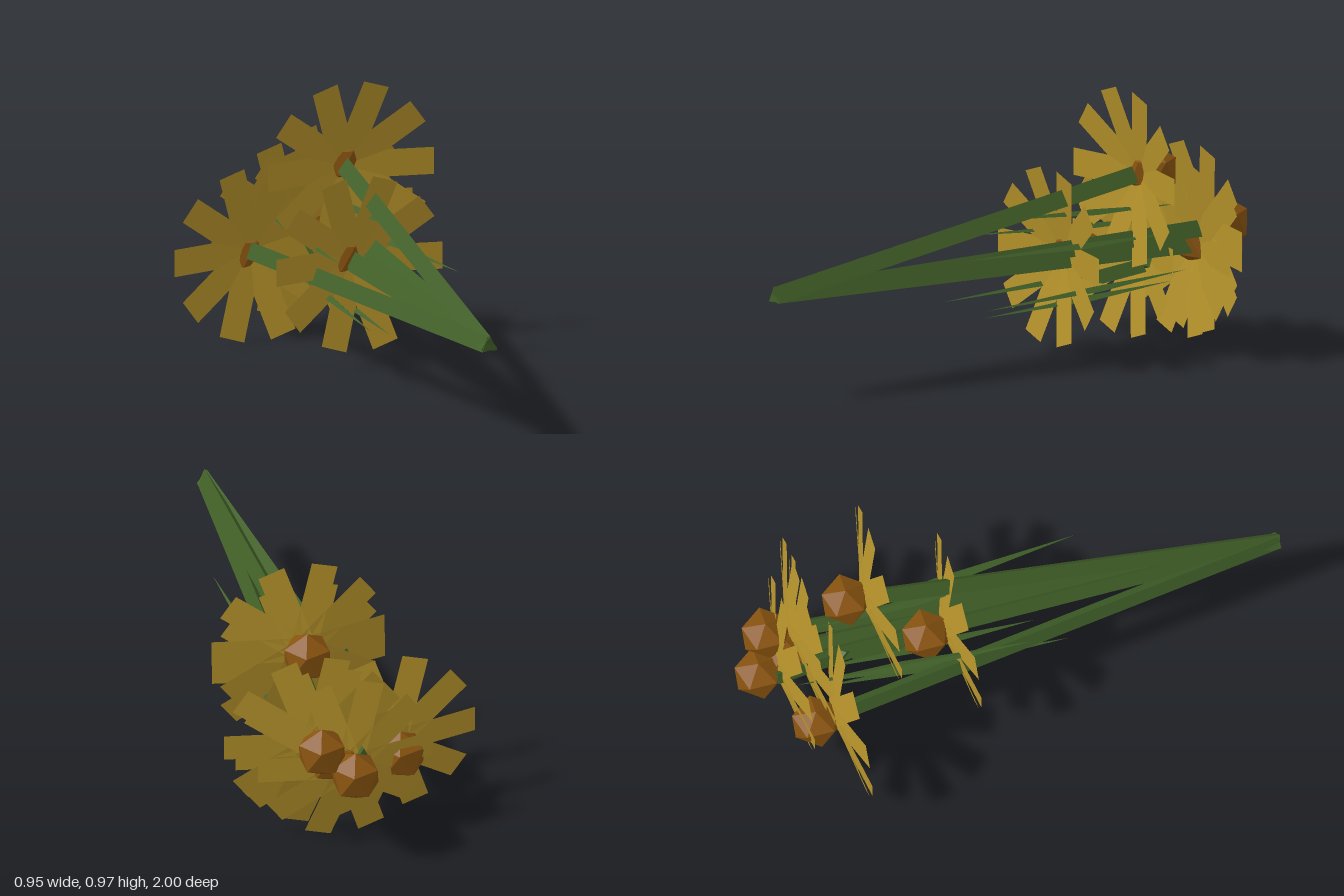
import * as THREE from 'three';

const mat = (name, color, side = THREE.FrontSide) => {
  const m = new THREE.MeshStandardMaterial({ color, side, flatShading: true });
  m.name = name;
  return m;
};

export function createModel() {
  const group = new THREE.Group();
  const yellow = mat('petalYellow', 0xb5922a, THREE.DoubleSide);
  const brown = mat('centreBrown', 0x88530f);
  const green = mat('stemGreen', 0x416028, THREE.DoubleSide);

  const add = (parent, name, geo, material) => {
    const mesh = new THREE.Mesh(geo, material);
    mesh.name = name;
    parent.add(mesh);
    return mesh;
  };

  // One flat petal, its tip nearer the stem end than its root
  const PETALS = 10, RADIUS = 0.32, HALF = 0.05, DEPTH = 0.06;
  const petal = new THREE.BufferGeometry();
  petal.setAttribute('position', new THREE.Float32BufferAttribute([
    0.02, -HALF, -DEPTH, RADIUS, -HALF, 0, RADIUS, HALF, 0, 0.02, HALF, -DEPTH,
  ], 3));
  petal.setIndex([0, 1, 2, 0, 2, 3]);
  petal.computeVertexNormals();

  // Faceted flower centre with a corner pointing up
  const ball = new THREE.IcosahedronGeometry(0.095, 0);
  ball.rotateZ(-Math.atan(2 / (1 + Math.sqrt(5))));

  // Three-sided straight stem between two points
  const stem = (a, b, r) => {
    const dir = b.clone().sub(a);
    const geo = new THREE.CylinderGeometry(r, r, dir.length(), 3);
    geo.applyQuaternion(new THREE.Quaternion().setFromUnitVectors(
      new THREE.Vector3(0, 1, 0), dir.clone().normalize()));
    const mid = a.clone().add(b).multiplyScalar(0.5);
    return geo.translate(mid.x, mid.y, mid.z);
  };

  // Flower heads: petal ring centre x, y, petal tip z, then ball centre
  const flowers = [
    [0.124, 0.652, -0.45, 0.125, 0.662, -0.573],
    [0.045, 0.38, -0.18, 0.02, 0.39, -0.305],
    [-0.158, 0.322, -0.635, -0.167, 0.31, -0.76],
    [0.155, 0.43, -0.72, 0.153, 0.445, -0.86],
    [0.05, 0.358, -0.79, 0.045, 0.358, -0.915],
    [0.107, 0.362, -0.70, 0.1, 0.37, -0.80],
  ];
  const base = new THREE.Vector3(0.05, 0.38, 1);
  flowers.forEach(([x, y, z, bx, by, bz]) => {
    const flower = new THREE.Group();
    flower.name = 'flower';
    for (let i = 0; i < PETALS; i++) {
      const p = add(flower, 'petal', petal, yellow);
      p.position.set(x, y, z);
      p.rotation.z = (i / PETALS) * Math.PI * 2;
    }
    add(flower, 'flowerCentre', ball, brown).position.set(bx, by, bz);
    add(flower, 'stem', stem(base, new THREE.Vector3(x, y, z - 0.04), 0.036), green);
    group.add(flower);
  });

  // Short bent stalk behind the rear flowers
  const bend = [[0.06, 0.28, -0.38], [0.06, 0.30, -0.57], [0.03, 0.38, -0.62], [0.0, 0.40, -0.86]]
    .map((p) => new THREE.Vector3(...p));
  for (let i = 0; i < 3; i++) add(group, 'bentStalk', stem(bend[i], bend[i + 1], 0.03), green);

  // Narrow folded leaves, tip first then root
  const leaf = ([tx, ty, tz], [rx, ry, rz]) => {
    const at = (k, dx, dy) => [tx + (rx - tx) * k + dx, ty + (ry - ty) * k + dy, tz + (rz - tz) * k];
    const geo = new THREE.BufferGeometry();
    geo.setAttribute('position', new THREE.Float32BufferAttribute([
      ...at(0, 0, 0), ...at(0.55, -0.02, -0.01), ...at(0.55, 0, 0.008),
      ...at(0.55, 0.02, -0.01), ...at(1, 0, 0),
    ], 3));
    geo.setIndex([0, 2, 1, 0, 3, 2, 1, 2, 4, 2, 3, 4]);
    geo.computeVertexNormals();
    return geo;
  };
  [
    [[0.11, 0.56, 0.12], [0.10, 0.52, -0.70]],
    [[0.225, 0.455, 0.30], [0.15, 0.43, -0.65]],
    [[-0.125, 0.455, 0.05], [-0.06, 0.43, -0.80]],
    [[-0.07, 0.24, 0.20], [-0.04, 0.29, -0.70]],
    [[0.18, 0.25, 0.18], [0.15, 0.29, -0.70]],
    [[0.045, 0.19, 0.10], [0.05, 0.23, -0.70]],
  ].forEach(([tip, root]) => add(group, 'leaf', leaf(tip, root), green));

  return group;
}
